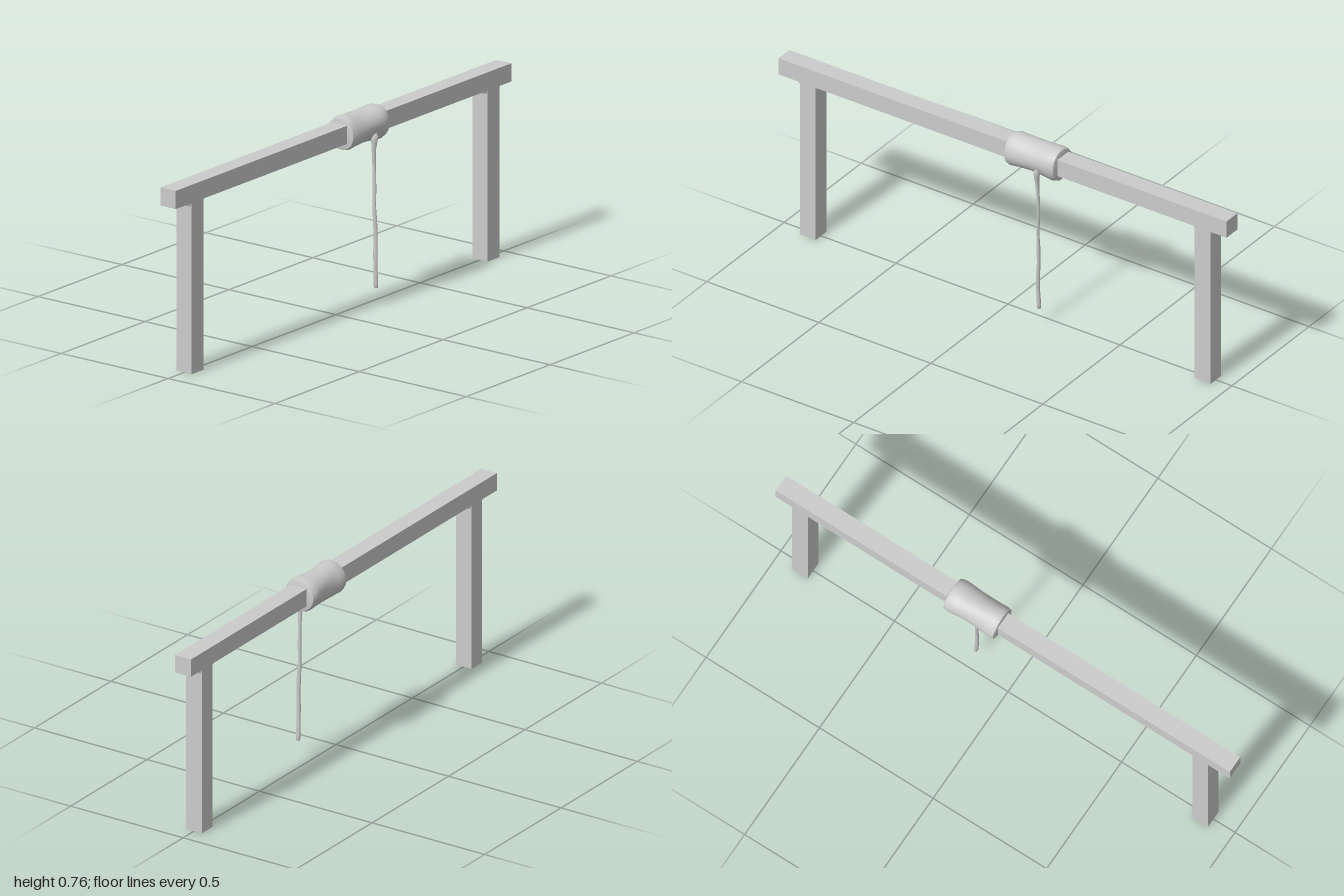
import * as THREE from 'three';
import { toCreasedNormals } from 'three/addons/utils/BufferGeometryUtils.js';

const material = new THREE.MeshStandardMaterial({ color: 0xcccccc });

function add(group, name, geometry, x = 0, y = 0, z = 0) {
  const mesh = new THREE.Mesh(geometry, material);
  mesh.name = name;
  mesh.position.set(x, y, z);
  group.add(mesh);
}

// Moves every vertex by a rule
function deform(geometry, rule) {
  const pos = geometry.attributes.position;
  const v = new THREE.Vector3();
  for (let i = 0; i < pos.count; i++) {
    v.fromBufferAttribute(pos, i);
    rule(v);
    pos.setXYZ(i, v.x, v.y, v.z);
  }
  return geometry;
}

const lathe = (points, sides) =>
  new THREE.LatheGeometry(points.map(([r, h]) => new THREE.Vector2(r, h)), sides);

export function createModel() {
  const group = new THREE.Group();

  // Crossbar
  add(group, 'crossbar', new THREE.BoxGeometry(2, 0.07, 0.07), 0, 0.694, 0);

  // Legs, with a slightly flared joint under the crossbar
  for (const [side, x] of [['right', -0.87], ['left', 0.893]]) {
    add(group, side + 'Leg', new THREE.BoxGeometry(0.07, 0.665, 0.07), x, 0.3325, 0);
    const joint = new THREE.CylinderGeometry(0.062, 0.049, 0.018, 4);
    joint.rotateY(Math.PI / 4);
    joint.scale(1, 1, 0.79);
    add(group, side + 'Joint', toCreasedNormals(joint, 0.5), x, 0.652, 0);
  }

  // Rope wound round the crossbar: a soft, uneven sleeve along x
  const sleeve = lathe([
    [0, 0.022], [0.052, 0.022], [0.062, 0.025], [0.066, 0.04], [0.064, 0.065], [0.063, 0.09],
    [0.062, 0.12], [0.062, 0.15], [0.064, 0.18], [0.066, 0.205], [0.067, 0.225],
    [0.062, 0.242], [0.052, 0.245], [0, 0.245],
  ], 32);
  sleeve.rotateZ(-Math.PI / 2);
  deform(sleeve, (v) => {
    const angle = Math.atan2(v.z, v.y);
    const swell = 1 + 0.025 * Math.sin(3 * angle + 25 * v.x);
    v.y *= swell;
    v.z *= swell;
  });
  add(group, 'ropeWrap', toCreasedNormals(sleeve, 0.8), 0, 0.691, 0);

  // Loose rope end hanging in front, wavering slightly on its way down
  const tail = lathe([
    [0, 0.07], [0.008, 0.071], [0.009, 0.09], [0.008, 0.15], [0.0085, 0.21], [0.0075, 0.27],
    [0.0085, 0.33], [0.0065, 0.39], [0.008, 0.45], [0.0065, 0.51], [0.0075, 0.57],
    [0.009, 0.61], [0.012, 0.635], [0.015, 0.66], [0, 0.68],
  ], 10);
  deform(tail, (v) => {
    const rise = THREE.MathUtils.smoothstep(v.y, 0.58, 0.67);
    v.x = v.x * 0.85 + 0.173 - 0.012 * v.y + 0.002 * Math.sin(28 * v.y);
    v.z += 0.049 + 0.002 * Math.sin(9 * v.y) + 0.004 * rise;
  });
  tail.computeVertexNormals();
  add(group, 'ropeTail', tail);

  return group;
}
